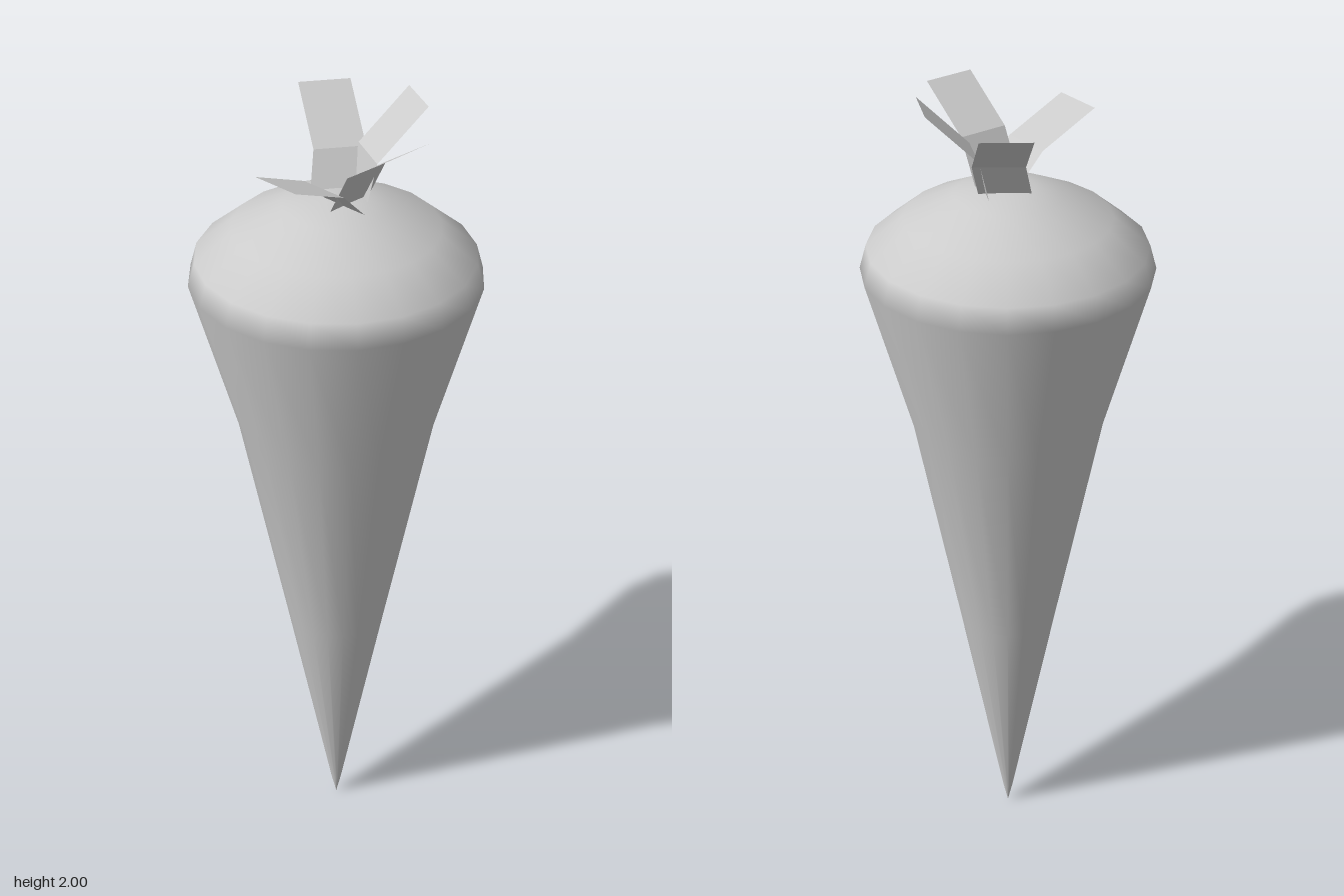
import * as THREE from 'three';

const LEAF_WIDTH = 0.125;

// A thin folded strip running through the centre points base, bend and tip
function makeLeaf(centres, material) {
  const [base, , tip] = centres;
  const dx = tip[0] - base[0], dz = tip[2] - base[2];
  const half = LEAF_WIDTH / 2 / Math.hypot(dx, dz);
  const sx = -dz * half, sz = dx * half;
  const positions = [];
  for (let i = 0; i < 2; i++) {
    const [a, b] = [centres[i], centres[i + 1]];
    const corner = ([x, y, z], s) => [x + s * sx, y, z + s * sz];
    const [p, q, r, t] = [corner(a, -1), corner(a, 1), corner(b, 1), corner(b, -1)];
    positions.push(...p, ...q, ...r, ...p, ...r, ...t);
  }
  const geometry = new THREE.BufferGeometry();
  geometry.setAttribute('position', new THREE.Float32BufferAttribute(positions, 3));
  geometry.computeVertexNormals();
  return new THREE.Mesh(geometry, material);
}

export function createModel() {
  const model = new THREE.Group();
  model.name = 'carrot';

  // Tapered root with a domed shoulder
  const profile = [
    [0, 0], [0.012, 0.05], [0.122, 0.6], [0.24, 1.18], [0.353, 1.57],
    [0.337, 1.63], [0.25, 1.703], [0.13, 1.763], [0.065, 1.78], [0, 1.785],
  ].map(([x, y]) => new THREE.Vector2(x, y));
  const root = new THREE.Mesh(
    new THREE.LatheGeometry(profile, 20),
    new THREE.MeshStandardMaterial({ color: 0xcccccc }),
  );
  root.name = 'root';
  model.add(root);

  // Four folded leaves fanning out of the crown
  const leafMaterial = new THREE.MeshStandardMaterial({
    color: 0xcccccc, flatShading: true, side: THREE.DoubleSide,
  });
  const leaves = {
    frontLeaf: [[0, 1.78, 0.045], [0, 1.885, 0.1], [0, 1.98, 0.24]],
    leftLeaf: [[0.058, 1.78, 0.015], [0.078, 1.875, 0.025], [0.192, 2, 0.076]],
    backLeaf: [[0.029, 1.78, -0.028], [0.066, 1.865, -0.056], [0.126, 1.98, -0.17]],
    rightLeaf: [[-0.02, 1.78, 0.049], [-0.09, 1.85, 0.052], [-0.248, 1.918, 0.06]],
  };
  const foliage = new THREE.Group();
  foliage.name = 'leaves';
  for (const [name, centres] of Object.entries(leaves)) {
    const leaf = makeLeaf(centres, leafMaterial);
    leaf.name = name;
    foliage.add(leaf);
  }
  model.add(foliage);

  return model;
}
